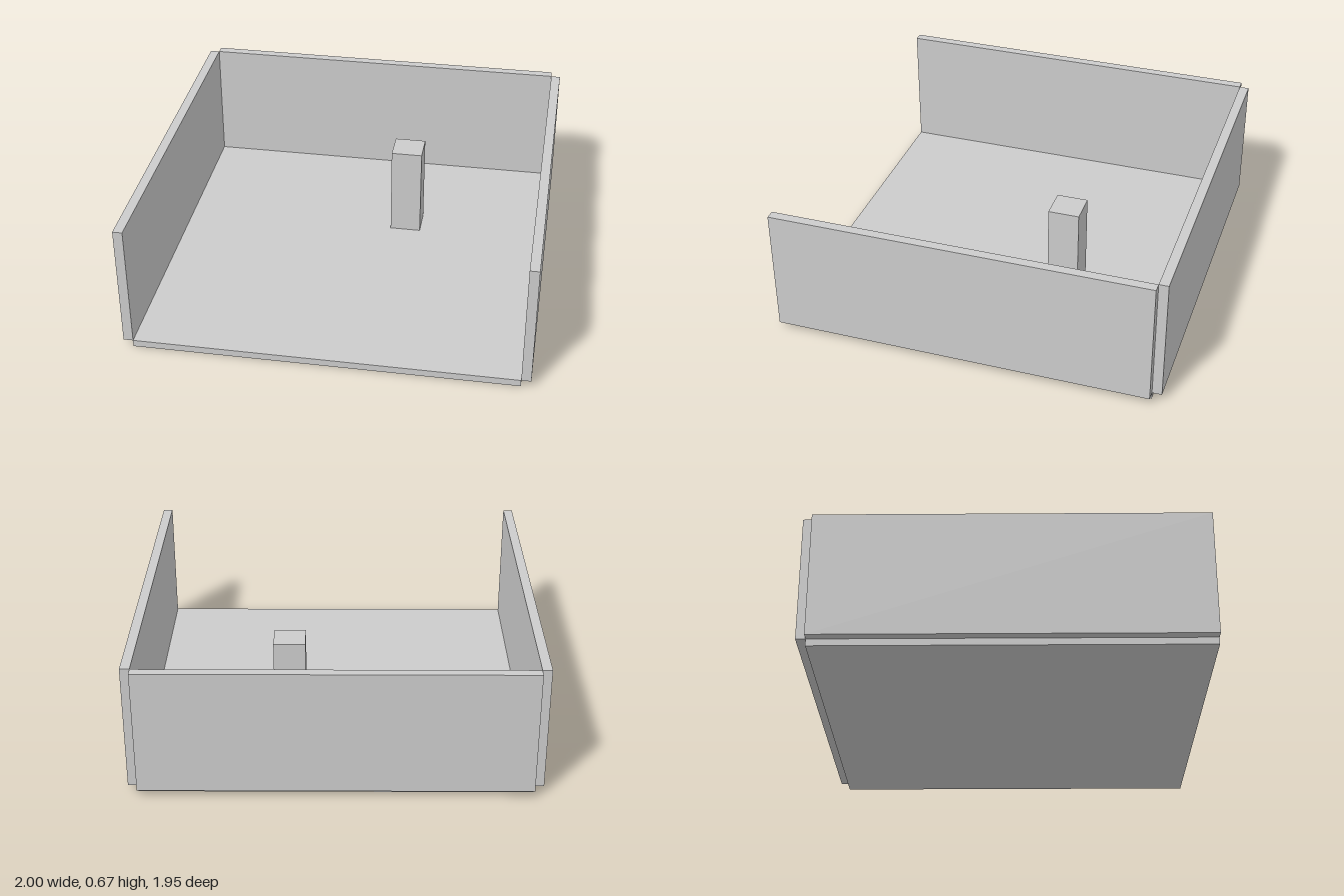
import * as THREE from 'three';

const material = new THREE.MeshStandardMaterial({ color: 0xcccccc });

// Box given by its lower and upper bounds on each axis
function block(name, [x0, x1], [y0, y1], [z0, z1]) {
  const mesh = new THREE.Mesh(new THREE.BoxGeometry(x1 - x0, y1 - y0, z1 - z0), material);
  mesh.position.set((x0 + x1) / 2, (y0 + y1) / 2, (z0 + z1) / 2);
  mesh.name = name;
  return mesh;
}

export function createModel() {
  const group = new THREE.Group();
  group.name = 'openRoom';

  const inner = 0.952;         // half width of the floor
  const floorTop = 0.035;
  const wallY = [floorTop, 0.67];
  const depth = [-0.928, 0.976]; // floor and side walls, front to back

  // Floor slab, open at the front
  group.add(block('floor', [-inner, inner], [0, floorTop], depth));

  // Three walls resting just outside the floor edges
  group.add(block('leftWall', [inner, 1], wallY, depth));
  group.add(block('rightWall', [-1, -inner], wallY, depth));
  group.add(block('backWall', [-inner, inner], wallY, [-0.976, depth[0]]));

  // Free-standing square pillar
  group.add(block('pillar', [0.156, 0.316], [floorTop, 0.51], [-0.376, -0.218]));

  return group;
}
